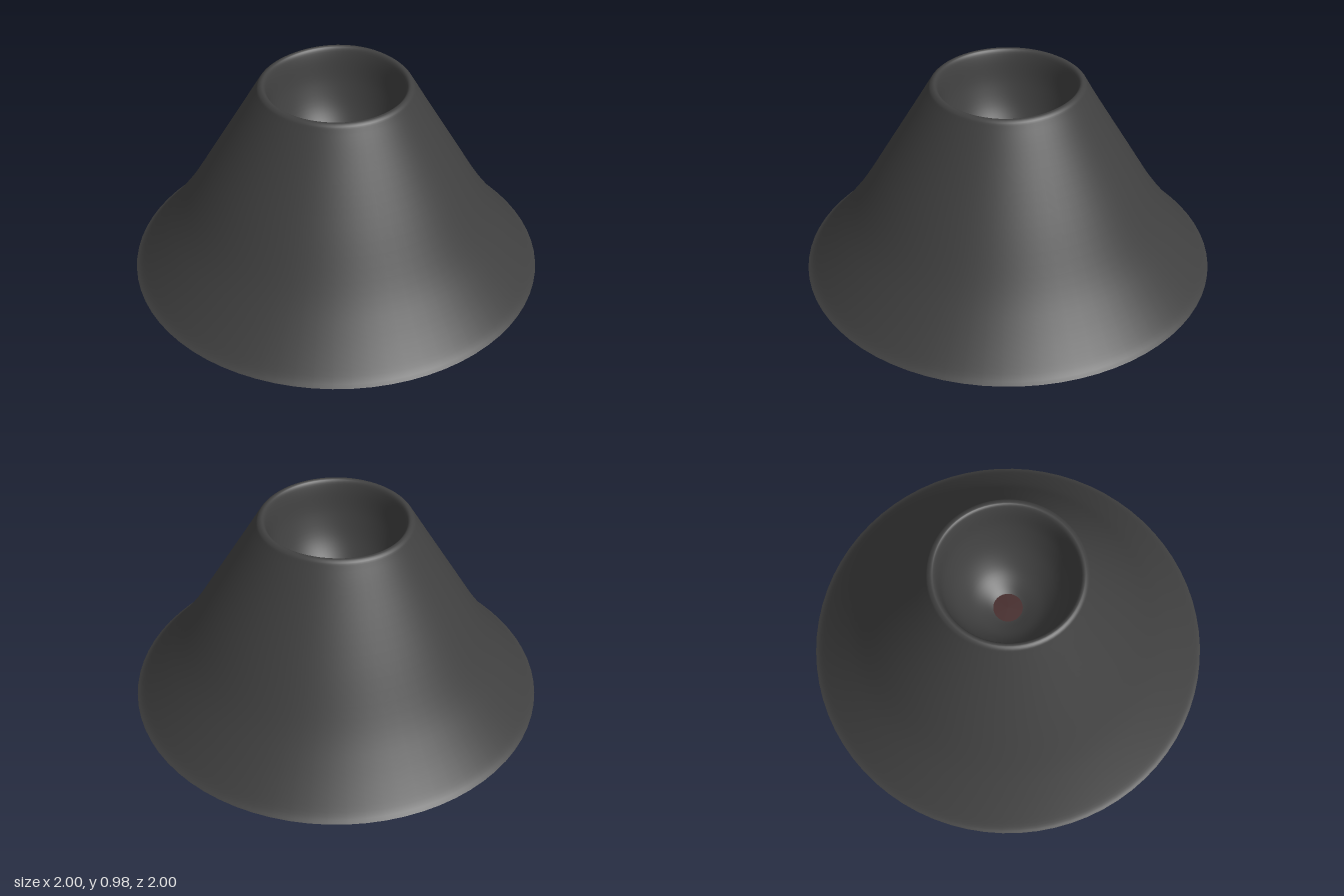
import * as THREE from 'three';

const rock = new THREE.MeshStandardMaterial({ name: 'darkRock', color: 0x404040, side: THREE.DoubleSide });
const lava = new THREE.MeshStandardMaterial({ name: 'dullRedLava', color: 0x402222, side: THREE.DoubleSide });

// Smooth curve through [radius, height] points, for lathing
function profile(points, steps) {
  return new THREE.SplineCurve(points.map(([r, y]) => new THREE.Vector2(r, y))).getPoints(steps);
}

// Lathe whose rim rises slightly on one side
function slope(name, points, steps) {
  const geometry = new THREE.LatheGeometry(profile(points, steps), 72);
  const pos = geometry.attributes.position;
  for (let i = 0; i < pos.count; i++) {
    const x = pos.getX(i), y = pos.getY(i), z = pos.getZ(i);
    const lift = Math.max(0, Math.cos(Math.atan2(z, x) + 0.35)) ** 3;
    const nearRim = THREE.MathUtils.smoothstep(y, 0.85, 0.96);
    pos.setY(i, y + 0.013 * lift * nearRim);
  }
  const mesh = new THREE.Mesh(geometry, rock);
  mesh.name = name;
  return mesh;
}

export function createModel() {
  const group = new THREE.Group();
  group.name = 'volcano';

  // Flared cone, rounded rim and crater bowl in one continuous skin, open below
  group.add(slope('coneAndCrater', [
    [1, 0], [0.96, 0.035], [0.85, 0.17], [0.74, 0.325], [0.6, 0.56], [0.47, 0.78],
    [0.385, 0.925], [0.36, 0.963], [0.335, 0.965], [0.318, 0.92], [0.295, 0.8],
    [0.25, 0.68], [0.18, 0.585], [0.1, 0.527], [0.05, 0.505], [0, 0.5],
  ], 75));

  // Lava sheet that cuts through the bottom of the bowl
  const pool = new THREE.Mesh(new THREE.CircleGeometry(0.17, 32).rotateX(-Math.PI / 2), lava);
  pool.name = 'lavaPool';
  pool.position.y = 0.512;
  group.add(pool);

  return group;
}
